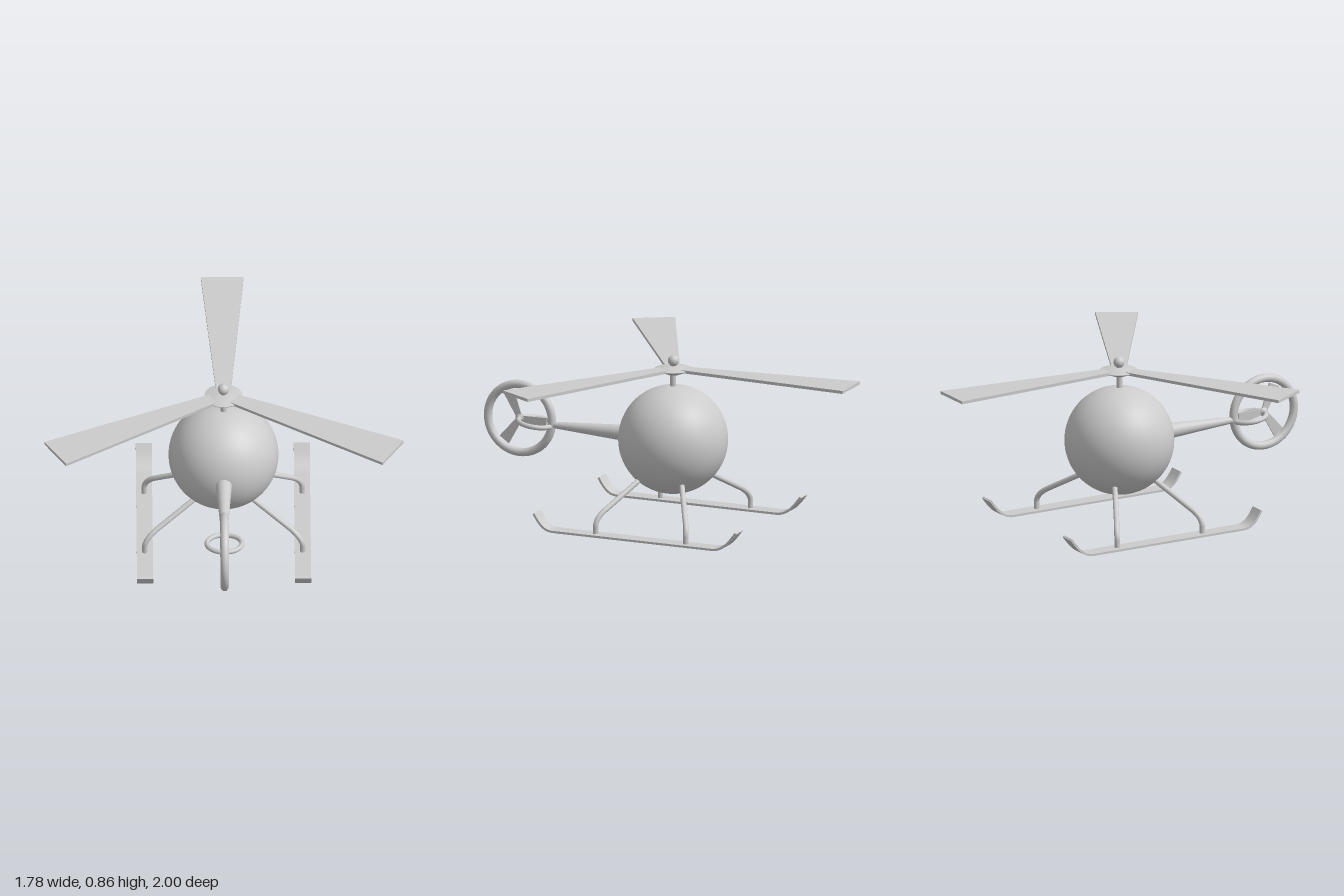
import * as THREE from 'three';

const mat = new THREE.MeshStandardMaterial({ color: 0xcccccc, side: THREE.DoubleSide });

function add(parent, name, geo, x = 0, y = 0, z = 0) {
  const m = new THREE.Mesh(geo, mat);
  m.name = name;
  m.position.set(x, y, z);
  parent.add(m);
  return m;
}

// Flat tapered blade pointing to -z, thickness centred on y = 0
function bladeGeometry(r0, w0, r1, w1, t) {
  const s = new THREE.Shape([
    new THREE.Vector2(-w0 / 2, r0), new THREE.Vector2(w0 / 2, r0),
    new THREE.Vector2(w1 / 2, r1), new THREE.Vector2(-w1 / 2, r1),
  ]);
  const g = new THREE.ExtrudeGeometry(s, { depth: t, bevelEnabled: false });
  return g.translate(0, 0, -t / 2).rotateX(-Math.PI / 2);
}

// Three blades around the y axis, tips raised slightly
function addBlades(parent, name, geo, rise) {
  for (let i = 0; i < 3; i++) {
    const arm = new THREE.Group();
    arm.rotation.y = (i * Math.PI * 2) / 3;
    add(arm, name, geo).rotation.x = rise;
    parent.add(arm);
  }
}

// Double-cone hub with a thin rim
function hubGeometry(r, top, bottom) {
  const p = [[0, -bottom], [r * 0.3, -bottom], [r, -0.002], [r, 0.002], [r * 0.3, top], [0, top]];
  return new THREE.LatheGeometry(p.map(([x, y]) => new THREE.Vector2(x, y)), 32);
}

// Runner: side profile with upturned ends, thickened and extruded across x
function skidGeometry(width, t) {
  const path = new THREE.CurvePath();
  const v = (z, y) => new THREE.Vector2(z, y);
  path.add(new THREE.CubicBezierCurve(v(0.535, 0.088), v(0.505, 0.035), v(0.48, 0.006), v(0.43, 0.006)));
  path.add(new THREE.LineCurve(v(0.43, 0.006), v(-0.43, 0.006)));
  path.add(new THREE.CubicBezierCurve(v(-0.43, 0.006), v(-0.49, 0.006), v(-0.52, 0.045), v(-0.563, 0.103)));
  const upper = [], lower = [];
  path.curves.forEach((c, k) => {
    const n = k === 1 ? 1 : 12;
    for (let i = k ? 1 : 0; i <= n; i++) {
      const p = c.getPoint(i / n), d = c.getTangent(i / n);
      upper.push(v(p.x - d.y * t / 2, p.y + d.x * t / 2));
      lower.push(v(p.x + d.y * t / 2, p.y - d.x * t / 2));
    }
  });
  const g = new THREE.ExtrudeGeometry(new THREE.Shape([...upper, ...lower.reverse()]),
    { depth: width, bevelEnabled: false });
  return g.translate(0, 0, -width / 2).rotateY(-Math.PI / 2);
}

// Bent strut from cabin to skid
function strutGeometry(side, top, bend, foot) {
  const P = (x, y, z) => new THREE.Vector3(side * x, y, z);
  const a = P(0.14, 0.245, top), b = P(0.335, 0.125, bend);
  const corner = P(0.385, 0.092, foot), c = P(0.392, 0.05, foot), d = P(0.392, 0.008, foot);
  const path = new THREE.CurvePath();
  path.add(new THREE.LineCurve3(a, b));
  path.add(new THREE.QuadraticBezierCurve3(b, corner, c));
  path.add(new THREE.LineCurve3(c, d));
  return new THREE.TubeGeometry(path, 40, 0.0135, 14, false);
}

export function createModel() {
  const model = new THREE.Group();
  model.name = 'helicopter';

  // Cabin and mast
  add(model, 'cabin', new THREE.SphereGeometry(0.273, 64, 40), 0, 0.43, -0.03);
  add(model, 'mast', new THREE.CylinderGeometry(0.015, 0.015, 0.14, 20), 0, 0.755, -0.03);

  // Main rotor
  const rotor = new THREE.Group();
  rotor.name = 'mainRotor';
  rotor.position.set(0, 0.79, -0.032);
  model.add(rotor);
  add(rotor, 'rotorHub', hubGeometry(0.095, 0.016, 0.028));
  add(rotor, 'rotorCap', new THREE.SphereGeometry(0.028, 24, 16), 0, 0.042, 0);
  addBlades(rotor, 'rotorBlade', bladeGeometry(0.05, 0.074, 0.968, 0.212, 0.015), 0.006);

  // Tail boom
  add(model, 'tailBoom', new THREE.CylinderGeometry(0.015, 0.043, 0.45, 28), 0, 0.433, 0.415)
    .rotation.x = Math.PI / 2;

  // Upright guard ring and small tilted stabiliser ring
  add(model, 'tailGuardRing', new THREE.TorusGeometry(0.174, 0.021, 18, 64), 0, 0.449, 0.803)
    .rotation.y = Math.PI / 2;
  add(model, 'stabiliserRing', new THREE.TorusGeometry(0.087, 0.0125, 14, 48), 0, 0.436, 0.717)
    .rotation.x = Math.PI / 2 - 0.13;

  // Tail rotor, spinning about the x axis
  const tail = new THREE.Group();
  tail.name = 'tailRotor';
  tail.position.set(0, 0.449, 0.803);
  tail.rotation.set(-0.1, 0, Math.PI / 2);
  model.add(tail);
  add(tail, 'tailHub', hubGeometry(0.024, 0.016, 0.016));
  addBlades(tail, 'tailBlade', bladeGeometry(0.01, 0.03, 0.145, 0.06, 0.008), 0);

  // Landing gear
  for (const side of [1, -1]) {
    const label = side > 0 ? 'left' : 'right';
    add(model, label + 'Skid', skidGeometry(0.08, 0.011), side * 0.392, 0, 0);
    add(model, label + 'FrontStrut', strutGeometry(side, -0.14, -0.245, -0.275));
    add(model, label + 'RearStrut', strutGeometry(side, 0.085, 0.185, 0.215));
  }
  return model;
}
